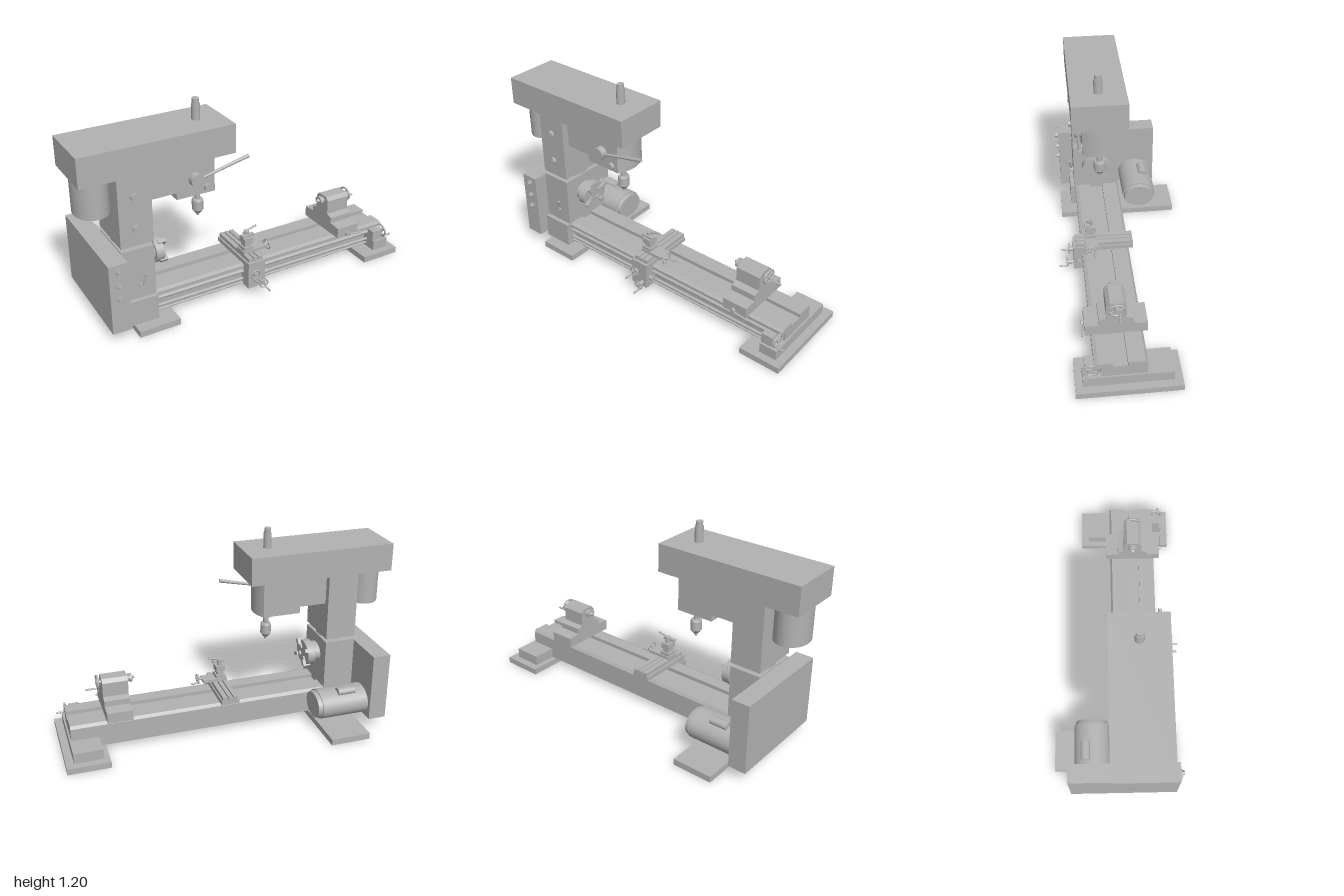
import * as THREE from 'three';

const ZS = 1.24; // round parts turned about x or y are wider in depth
const AXIS_Z = 0.113, CENTRE_Y = 0.375;

export function createModel() {
  const model = new THREE.Group();
  model.name = 'combinationLatheMill';
  const grey = new THREE.MeshStandardMaterial({ color: 0xb2b2b2 });
  grey.name = 'machine grey';

  const add = (name, geometry, parent = model) => {
    const mesh = new THREE.Mesh(geometry, grey);
    mesh.name = name;
    parent.add(mesh);
    return mesh;
  };
  const group = (name) => {
    const g = new THREE.Group();
    g.name = name;
    model.add(g);
    return g;
  };
  const box = (name, x0, x1, y0, y1, z0, z1, parent) =>
    add(name, new THREE.BoxGeometry(x1 - x0, y1 - y0, z1 - z0)
      .translate((x0 + x1) / 2, (y0 + y1) / 2, (z0 + z1) / 2), parent);

  // cylinder along an axis, from a to b; u and v are the other two coordinates in x, y, z order
  const rod = (name, axis, a, b, u, v, r0, r1 = r0, parent = model, stretch = ZS) => {
    const g = new THREE.CylinderGeometry(r1, r0, b - a, 32);
    if (axis === 'x') g.rotateZ(-Math.PI / 2).scale(1, 1, stretch).translate((a + b) / 2, u, v);
    if (axis === 'y') g.scale(1, 1, stretch).translate(u, (a + b) / 2, v);
    if (axis === 'z') g.rotateX(Math.PI / 2).translate(u, v, (a + b) / 2);
    return add(name, g, parent);
  };
  // thin bar between two points
  const bar = (name, p, q, r0, r1 = r0, parent = model) => {
    const a = new THREE.Vector3(...p), b = new THREE.Vector3(...q);
    const mesh = add(name, new THREE.CylinderGeometry(r1, r0, a.distanceTo(b), 16), parent);
    mesh.position.copy(a).lerp(b, 0.5);
    mesh.quaternion.setFromUnitVectors(new THREE.Vector3(0, 1, 0), b.sub(a).normalize());
    return mesh;
  };
  // constant section in (z, y) pushed along x
  const section = (name, pts, x0, x1) => {
    const s = new THREE.Shape(pts.map(([z, y]) => new THREE.Vector2(-z, y)));
    return add(name, new THREE.ExtrudeGeometry(s, { depth: x1 - x0, bevelEnabled: false })
      .rotateY(Math.PI / 2).translate(x0, 0, 0));
  };
  // spoked wheel with a crank grip, facing +z, or +x when turned
  const handWheel = (name, x, y, z, r, facingX, grip, gripAngle) => {
    const g = group(name);
    const t = r * 0.14;
    add('rim', new THREE.TorusGeometry(r - t, t, 10, 32), g);
    rod('hub', 'z', -0.02, 0.01, 0, 0, r * 0.3, r * 0.3, g);
    for (let i = 0; i < 4; i++) {
      const a = gripAngle + i * Math.PI / 2;
      bar('spoke', [0, 0, 0], [Math.cos(a) * (r - t), Math.sin(a) * (r - t), 0], t * 0.9, t * 0.9, g);
    }
    rod('grip', 'z', 0, grip, Math.cos(gripAngle) * (r - t), Math.sin(gripAngle) * (r - t), 0.004, 0.006, g);
    g.position.set(x, y, z);
    if (facingX) {
      g.rotation.y = Math.PI / 2;
      g.scale.x = ZS;
    }
    return g;
  };

  // feet and end pedestal
  box('leftFoot', -0.757, -0.515, 0, 0.037, -0.39, 0.353);
  box('rightFoot', 0.752, 1.0, 0, 0.037, -0.218, 0.355);
  box('rightPedestal', 0.785, 0.955, 0.037, 0.098, -0.172, 0.2);
  box('rightPedestalFront', 0.85, 0.955, 0.037, 0.098, 0.2, 0.313);
  box('feedBracket', 0.85, 0.915, 0.098, 0.16, 0.2, 0.3);

  // bed with two ways and a channel between them
  section('bed', [
    [-0.03, 0.037], [0.216, 0.037], [0.216, 0.155], [0.252, 0.16], [0.252, 0.178], [0.232, 0.187],
    [0.155, 0.187], [0.155, 0.165], [0.075, 0.165], [0.075, 0.187], [-0.018, 0.187], [-0.03, 0.17],
  ], -0.63, 0.945);
  rod('leadScrew', 'x', -0.62, 0.86, 0.138, 0.24, 0.011);
  rod('feedRod', 'x', -0.62, 0.86, 0.087, 0.24, 0.008);
  rod('controlRod', 'x', -0.62, 0.86, 0.06, 0.24, 0.006);
  rod('feedShaft', 'x', 0.91, 0.945, 0.138, 0.27, 0.012);
  handWheel('feedHandWheel', 0.935, 0.138, 0.27, 0.041, true, 0.055, -2.2);

  // headstock and gear cover
  box('headstock', -0.798, -0.612, 0.185, 0.49, -0.03, 0.26);
  box('headstockBase', -0.798, -0.612, 0.037, 0.187, -0.03, 0.285);
  box('gearCover', -0.905, -0.798, 0.07, 0.483, -0.29, 0.345);
  for (const y of [0.44, 0.352, 0.275]) {
    rod('coverButton', 'z', 0.34, 0.352, -0.85, y, 0.02);
    rod('coverButtonCap', 'z', 0.35, 0.366, -0.85, y, 0.013);
  }
  rod('gearLeverHub', 'z', 0.255, 0.275, -0.695, 0.265, 0.014);
  bar('gearLever', [-0.695, 0.265, 0.27], [-0.672, 0.34, 0.283], 0.005, 0.007);

  // lathe chuck with four jaws
  rod('chuckPlate', 'x', -0.615, -0.57, CENTRE_Y, AXIS_Z, 0.058);
  rod('chuckBody', 'x', -0.572, -0.525, CENTRE_Y, AXIS_Z, 0.075);
  const jaws = group('chuckJaws');
  jaws.position.set(0, CENTRE_Y, AXIS_Z);
  jaws.scale.z = ZS;
  for (let i = 0; i < 4; i++) {
    const jaw = new THREE.Group();
    jaw.name = 'jaw';
    jaw.rotation.x = 0.6 + i * Math.PI / 2;
    box('jawFoot', -0.55, -0.515, 0.025, 0.082, -0.011, 0.011, jaw);
    box('jawStep', -0.52, -0.505, 0.045, 0.082, -0.011, 0.011, jaw);
    jaws.add(jaw);
  }

  // lathe motor behind the bed
  rod('latheMotor', 'x', -0.8, -0.51, 0.157, -0.16, 0.086);
  rod('latheMotorCap', 'x', -0.51, -0.485, 0.157, -0.16, 0.08, 0.076);
  rod('motorCapacitor', 'x', -0.73, -0.622, 0.24, -0.198, 0.023);

  // column and milling head
  rod('columnSwivel', 'y', 0.485, 0.515, -0.705, AXIS_Z, 0.085);
  box('column', -0.798, -0.612, 0.512, 0.917, -0.03, 0.26);
  for (const y of [0.795, 0.613]) {
    rod('columnBolt', 'z', 0.255, 0.276, -0.707, y, 0.022);
    rod('columnBoltCentre', 'z', 0.27, 0.279, -0.707, y, 0.011);
  }
  box('beltCover', -1.0, -0.125, 0.915, 1.08, -0.05, 0.278);
  rod('millMotor', 'y', 0.7, 0.916, -0.89, AXIS_Z, 0.096);
  // head plan with a bowed nose
  const headBlock = (name, x0, y0, y1) => {
    const plan = new THREE.Shape();
    plan.moveTo(x0, -0.217);
    plan.lineTo(-0.222, -0.217);
    plan.quadraticCurveTo(-0.16, -0.113, -0.222, -0.008);
    plan.lineTo(x0, -0.008);
    add(name, new THREE.ExtrudeGeometry(plan, { depth: y1 - y0, bevelEnabled: false, curveSegments: 20 })
      .rotateX(-Math.PI / 2).translate(0, y0, 0));
  };
  headBlock('millHead', -0.615, 0.73, 0.916);
  headBlock('millHeadLower', -0.45, 0.69, 0.73);

  // quill, spindle and drill chuck
  const spindle = (name, y0, y1, r0, r1) => rod(name, 'y', y0, y1, -0.275, AXIS_Z, r0, r1, model, 1.15);
  spindle('drawbarHousing', 1.08, 1.17, 0.023);
  spindle('drawbarCap', 1.17, 1.198, 0.019);
  spindle('spindleCollar', 0.66, 0.692, 0.042);
  spindle('spindleShaft', 0.605, 0.662, 0.015);
  spindle('drillChuckTop', 0.6, 0.612, 0.031, 0.026);
  spindle('drillChuck', 0.545, 0.6, 0.031);
  spindle('drillChuckNose', 0.523, 0.545, 0.015, 0.031);
  spindle('drillTip', 0.506, 0.523, 0.007, 0.009);

  // down-feed lever
  rod('feedLeverHub', 'z', 0.21, 0.256, -0.34, 0.79, 0.038);
  bar('feedLever', [-0.33, 0.79, 0.238], [-0.025, 0.86, 0.238], 0.007, 0.011);
  rod('depthKnob', 'z', 0.21, 0.237, -0.268, 0.725, 0.021);

  // carriage: apron, saddle, slotted cross slide
  box('apron', -0.055, 0.055, 0.05, 0.205, 0.225, 0.305);
  box('saddle', -0.055, 0.055, 0.187, 0.213, -0.055, 0.305);
  for (const [x0, x1] of [[-0.045, -0.018], [-0.01, 0.012], [0.02, 0.047]])
    box('crossSlideRail', x0, x1, 0.213, 0.236, -0.055, 0.29);
  box('crossSlideFloor', -0.045, 0.047, 0.21, 0.224, -0.05, 0.285);
  rod('apronShaft', 'z', 0.3, 0.325, -0.02, 0.147, 0.014);
  handWheel('apronHandWheel', -0.02, 0.147, 0.328, 0.031, false, 0.052, -2.2);
  rod('crossFeedShaft', 'z', 0.3, 0.34, 0.025, 0.083, 0.012);
  handWheel('crossFeedHandWheel', 0.025, 0.083, 0.344, 0.029, false, 0.05, -1.2);
  rod('apronKnob', 'x', 0.05, 0.082, 0.115, 0.275, 0.013);

  // compound slide and tool post
  box('compoundSlide', -0.045, 0.105, 0.236, 0.252, 0.155, 0.232);
  rod('compoundShaft', 'x', 0.1, 0.13, 0.245, 0.208, 0.007);
  handWheel('compoundHandWheel', 0.128, 0.245, 0.208, 0.03, true, 0.045, -0.6);
  box('toolPostBase', -0.038, 0.022, 0.252, 0.272, 0.162, 0.228);
  box('toolPostNeck', -0.028, 0.012, 0.27, 0.31, 0.172, 0.218);
  box('toolPost', -0.036, 0.02, 0.295, 0.33, 0.165, 0.228);
  rod('toolPostStud', 'y', 0.33, 0.368, -0.008, 0.196, 0.014);
  bar('toolPostLever', [-0.03, 0.36, 0.196], [0.06, 0.382, 0.19], 0.005, 0.006);
  box('cuttingTool', -0.048, 0.03, 0.34, 0.352, 0.2, 0.225);

  // tailstock
  section('tailstockBody', [
    [-0.055, 0.187], [0.285, 0.187], [0.285, 0.25], [0.208, 0.255], [0.208, 0.29], [0.168, 0.3],
    [0.168, 0.385], [0.148, 0.406], [0.078, 0.406], [0.058, 0.385], [0.058, 0.3], [0.02, 0.29],
    [0.02, 0.255], [-0.055, 0.25],
  ], 0.585, 0.735);
  rod('tailstockQuill', 'x', 0.562, 0.59, CENTRE_Y, AXIS_Z, 0.018);
  rod('tailstockCollar', 'x', 0.555, 0.572, CENTRE_Y, AXIS_Z, 0.024);
  rod('tailstockCentre', 'x', 0.538, 0.556, CENTRE_Y, AXIS_Z, 0.005, 0.013);
  rod('tailstockShaft', 'x', 0.73, 0.76, CENTRE_Y, AXIS_Z, 0.012);
  handWheel('tailstockHandWheel', 0.755, CENTRE_Y, AXIS_Z, 0.041, true, 0.07, -1.2);
  rod('tailstockClampHub', 'z', 0.28, 0.3, 0.655, 0.203, 0.014);
  bar('tailstockClampLever', [0.655, 0.203, 0.295], [0.745, 0.192, 0.3], 0.005, 0.006);

  return model;
}
